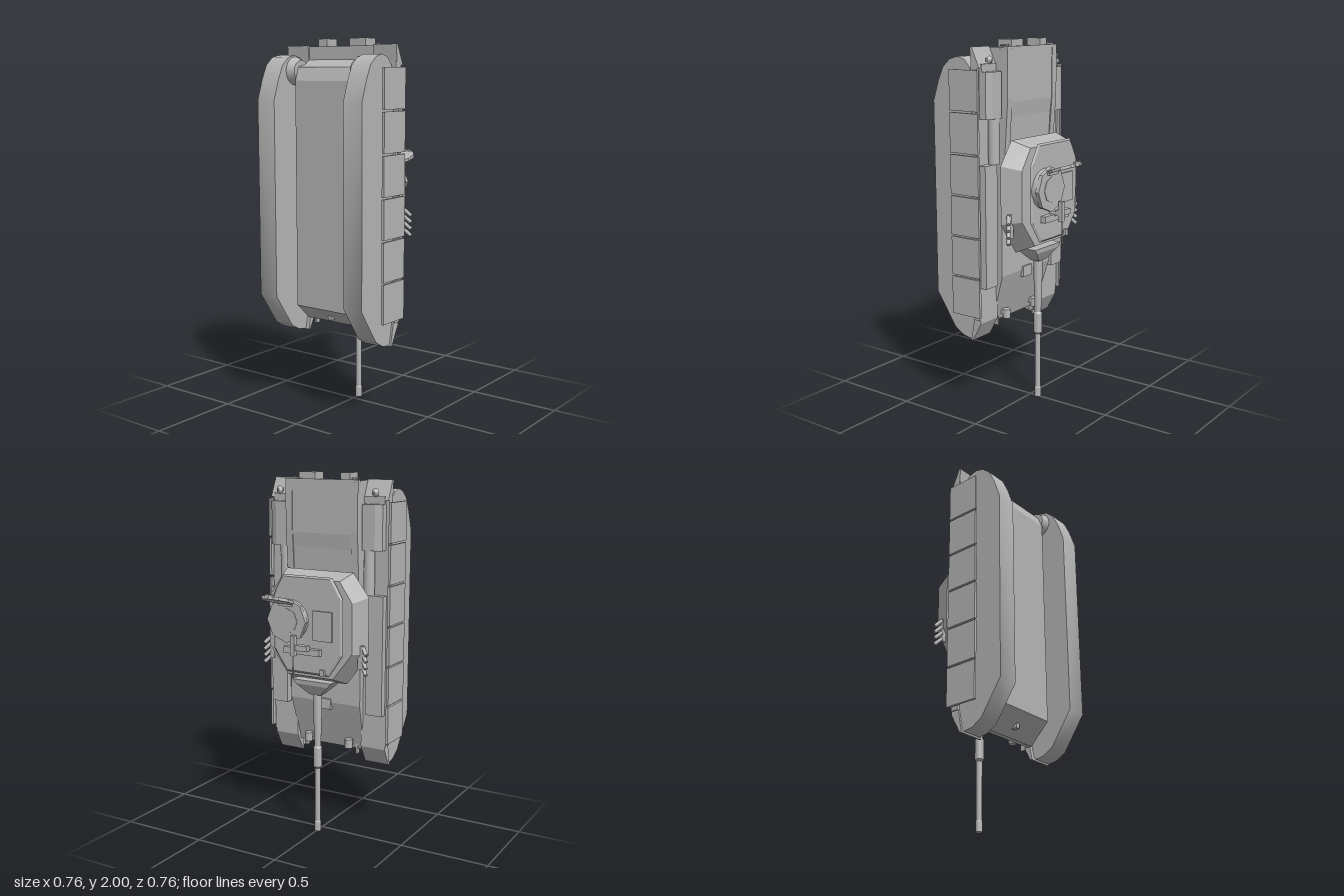
import * as THREE from 'three';
import { toCreasedNormals } from 'three/addons/utils/BufferGeometryUtils.js';
import { ConvexGeometry } from 'three/addons/geometries/ConvexGeometry.js';

const grey = new THREE.MeshStandardMaterial({ color: 0xb6b6b6 });
grey.name = 'plain grey';

// The tank stands on its nose: gun along -y, roof towards -z, belly towards +z.
export function createModel() {
  const model = new THREE.Group();
  model.name = 'tank';

  const add = (name, geo) => {
    const mesh = new THREE.Mesh(geo, grey);
    mesh.name = name;
    model.add(mesh);
    return mesh;
  };

  // Mirrored copy across x = 0 with corner order restored
  const mirror = (geo) => {
    const g = geo.index ? geo.toNonIndexed() : geo.clone();
    g.scale(-1, 1, 1);
    for (const key of Object.keys(g.attributes)) {
      const { array, itemSize: n } = g.attributes[key];
      for (let i = 0; i < array.length; i += 3 * n) {
        for (let k = 0; k < n; k++) {
          const t = array[i + n + k];
          array[i + n + k] = array[i + 2 * n + k];
          array[i + 2 * n + k] = t;
        }
      }
    }
    return g;
  };
  const pair = (name, geo) => {
    add(name + 'Left', geo);
    add(name + 'Right', mirror(geo));
  };

  // Box from its limits on each axis
  const box = (x0, x1, y0, y1, z0, z1) =>
    new THREE.BoxGeometry(x1 - x0, y1 - y0, z1 - z0)
      .translate((x0 + x1) / 2, (y0 + y1) / 2, (z0 + z1) / 2);

  // Side profile of [z, y] points extruded along x
  const profile = (pts, x0, x1) => {
    const shape = new THREE.Shape(pts.map(([z, y]) => new THREE.Vector2(-z, y)));
    return new THREE.ExtrudeGeometry(shape, { depth: x1 - x0, bevelEnabled: false })
      .rotateY(Math.PI / 2).translate(x0, 0, 0);
  };

  // Cross-section of [x, z] points extruded along y
  const section = (pts, y0, y1) => {
    const shape = new THREE.Shape(pts.map(([x, z]) => new THREE.Vector2(x, -z)));
    return new THREE.ExtrudeGeometry(shape, { depth: y1 - y0, bevelEnabled: false })
      .rotateX(-Math.PI / 2).translate(0, y0, 0);
  };

  // Symmetric convex body from [halfWidth, y, z] points
  const convex = (pts) => new ConvexGeometry(pts.flatMap(([x, y, z]) =>
    [new THREE.Vector3(x, y, z), new THREE.Vector3(-x, y, z)]));

  // Cylinder between two points
  const rod = (a, b, rA, rB = rA, sides = 16) => {
    const p = new THREE.Vector3(...a), q = new THREE.Vector3(...b);
    const d = q.clone().sub(p);
    const turn = new THREE.Quaternion().setFromUnitVectors(
      new THREE.Vector3(0, 1, 0), d.clone().normalize());
    const mid = p.add(q).multiplyScalar(0.5);
    return new THREE.CylinderGeometry(rB, rA, d.length(), sides)
      .applyQuaternion(turn).translate(mid.x, mid.y, mid.z);
  };

  // Hull
  add('hull', convex([
    [0.205, 0.47, 0.14], [0.205, 0.47, 0.11], [0.175, 0.57, 0.275],
    [0.215, 0.57, 0.107], [0.22, 0.74, 0.03], [0.175, 1.78, 0.275],
    [0.178, 1.85, 0.245], [0.215, 1.89, 0.107], [0.22, 1.89, 0.03],
  ]));
  add('engineDeck', profile([[0.04, 1.34], [0.04, 1.93], [-0.01, 1.93],
    [-0.01, 1.68], [0.0, 1.6], [0.014, 1.34]], -0.18, 0.18));
  pair('deckRail', profile([[0.04, 1.36], [0.04, 1.95], [-0.014, 1.95],
    [-0.014, 1.7], [0.01, 1.36]], 0.18, 0.22));
  add('rearPlate', box(-0.217, 0.217, 1.88, 1.96, 0.01, 0.107));
  add('rearLip', box(-0.222, 0.222, 1.9, 1.965, -0.012, 0.01));
  add('rearBoxNarrow', box(-0.16, -0.102, 1.95, 2, 0.012, 0.1));
  add('rearBoxWide', box(0.05, 0.152, 1.95, 2, 0.012, 0.1));
  pair('rearHook', rod([0.176, 1.97, 0.012], [0.192, 1.97, 0.055], 0.006, 0.004, 8));
  add('towEye', box(-0.012, 0.012, 0.5, 0.55, 0.18, 0.215));
  pair('frontHook', box(0.16, 0.17, 0.44, 0.5, 0.1, 0.13));
  pair('headlight', rod([0.13, 0.48, 0.07], [0.13, 0.53, 0.07], 0.022, 0.022, 10));
  pair('headlightBracket', box(0.115, 0.145, 0.5, 0.53, 0.06, 0.11));
  add('driverPeriscope', box(-0.04, 0.04, 0.7, 0.76, 0.02, 0.05));

  // Tracks and final drives
  const track = profile([
    [0.385, 0.63], [0.385, 1.68], [0.35, 1.785], [0.315, 1.86], [0.27, 1.9],
    [0.22, 1.914], [0.17, 1.9], [0.135, 1.86], [0.115, 1.78], [0.1, 0.5],
    [0.115, 0.43], [0.15, 0.402], [0.2, 0.41], [0.26, 0.445],
  ], 0.227, 0.342);
  pair('track', toCreasedNormals(track, 0.6));
  pair('finalDrive', rod([0.18, 1.83, 0.217], [0.23, 1.83, 0.214], 0.056, 0.076, 24));

  // Fenders, mudguards and side skirts
  pair('fender', box(0.205, 0.358, 0.52, 1.88, 0.075, 0.118));
  pair('frontMudguard', profile([[0.075, 0.53], [0.075, 0.5], [0.13, 0.398],
    [0.142, 0.398], [0.118, 0.53]], 0.205, 0.352));
  pair('rearMudguard', profile([[0.06, 1.86], [0.108, 1.965], [0.12, 1.965],
    [0.112, 1.86]], 0.215, 0.36));
  pair('rearFenderPlate', box(0.22, 0.34, 1.84, 1.88, 0.06, 0.08));
  for (let i = 0; i < 6; i++) {
    const y = 0.54 + i * 0.22;
    pair('skirtPanel' + (i + 1), box(0.364, 0.378, y, y + 0.21, 0.06, 0.247));
  }
  pair('skirtBracket', box(0.355, 0.366, 0.6, 1.8, 0.085, 0.1));

  // Fender stowage
  pair('rearBin', section([[0.23, 0.078], [0.23, 0.018], [0.305, 0.018],
    [0.342, 0.034], [0.342, 0.078]], 1.6, 1.84));
  pair('stowageTube', rod([0.26, 1.36, 0.048], [0.26, 1.61, 0.048], 0.03));
  pair('sideBin', box(0.25, 0.35, 0.7, 1.36, 0.035, 0.08));
  pair('tailLight', box(0.283, 0.303, 1.89, 1.91, 0.04, 0.062));
  pair('tailLightHood', rod([0.293, 1.9, 0.044], [0.293, 1.9, 0.028], 0.024, 0.006, 6));

  // Turret
  add('turretRing', rod([0, 1.1, 0.035], [0, 1.1, -0.025], 0.205, 0.205, 32));
  add('turret', convex([
    [0.205, 1.485, -0.024], [0.298, 1.36, -0.024], [0.298, 1.05, -0.024],
    [0.17, 0.875, -0.024], [0.18, 1.45, -0.13], [0.255, 1.34, -0.13],
    [0.255, 1.07, -0.13], [0.14, 0.92, -0.13],
  ]));
  add('mantlet', convex([
    [0.12, 0.89, 0.0], [0.12, 0.89, -0.118], [0.1, 0.865, 0.004],
    [0.1, 0.865, -0.115], [0.035, 0.805, -0.025], [0.035, 0.805, -0.08],
  ]));
  add('roofPlate', convex([
    [0.15, 1.47, -0.152], [0.212, 1.36, -0.152], [0.212, 1.06, -0.152],
    [0.13, 0.94, -0.152], [0.14, 1.46, -0.16], [0.2, 1.36, -0.16],
    [0.2, 1.06, -0.16], [0.12, 0.95, -0.16], [0.14, 1.45, -0.142],
    [0.18, 1.36, -0.142], [0.18, 1.06, -0.142], [0.12, 0.96, -0.142],
  ]));
  add('loaderHatch', box(-0.155, -0.04, 1.13, 1.29, -0.17, -0.158));
  add('roofSight', box(-0.09, 0.13, 1.05, 1.085, -0.19, -0.155));
  add('roofPeg', box(-0.11, -0.085, 0.94, 0.975, -0.175, -0.15));

  // Commander's cupola with raised lid
  add('cupolaBase', rod([0.1, 1.23, -0.155], [0.1, 1.23, -0.19], 0.108, 0.108, 24));
  add('cupolaRim', toCreasedNormals(rod([0.1, 1.23, -0.188], [0.1, 1.23, -0.21],
    0.12, 0.12, 8), 0.3));
  add('cupolaWell', rod([0.1, 1.23, -0.209], [0.1, 1.23, -0.213], 0.07, 0.07, 8));
  const lid = new THREE.CylinderGeometry(0.088, 0.088, 0.016, 10)
    .rotateX(0.31).translate(0.1, 1.353, -0.293);
  add('cupolaLid', toCreasedNormals(lid, 0.3));
  add('lidHandle', box(0.073, 0.127, 1.375, 1.393, -0.372, -0.358));
  add('lidHinge', box(0.06, 0.14, 1.31, 1.335, -0.225, -0.2));

  // Roof machine gun
  add('gunCradle', box(-0.04, 0.055, 1.08, 1.11, -0.235, -0.2));
  add('gunReceiver', box(0.03, 0.055, 1.05, 1.16, -0.245, -0.22));
  add('gunPost', rod([0.042, 1.09, -0.16], [0.042, 1.09, -0.225], 0.01, 0.01, 8));
  add('roofGunBarrel', rod([0.042, 0.93, -0.238], [0.042, 1.06, -0.238], 0.005, 0.005, 8));

  // Smoke dischargers
  for (let i = 0; i < 4; i++) {
    const y = 1.1 - i * 0.036;
    pair('smokeTube' + (i + 1),
      rod([0.288, y, -0.066], [0.318, y - 0.035, -0.09], 0.0105, 0.0105, 10));
  }
  pair('smokeBracket', box(0.262, 0.292, 0.98, 1.11, -0.078, -0.062));

  // Main gun turned from its outline
  const outline = [[0, 0], [0.019, 0], [0.019, 0.055], [0.016, 0.06], [0.016, 0.375],
    [0.024, 0.385], [0.024, 0.495], [0.018, 0.505], [0.024, 0.7], [0.024, 0.83], [0, 0.83]];
  const barrel = new THREE.LatheGeometry(
    outline.map(([r, y]) => new THREE.Vector2(r, y)), 20).translate(0, 0, -0.05);
  add('mainGun', toCreasedNormals(barrel, 0.5));

  return model;
}
